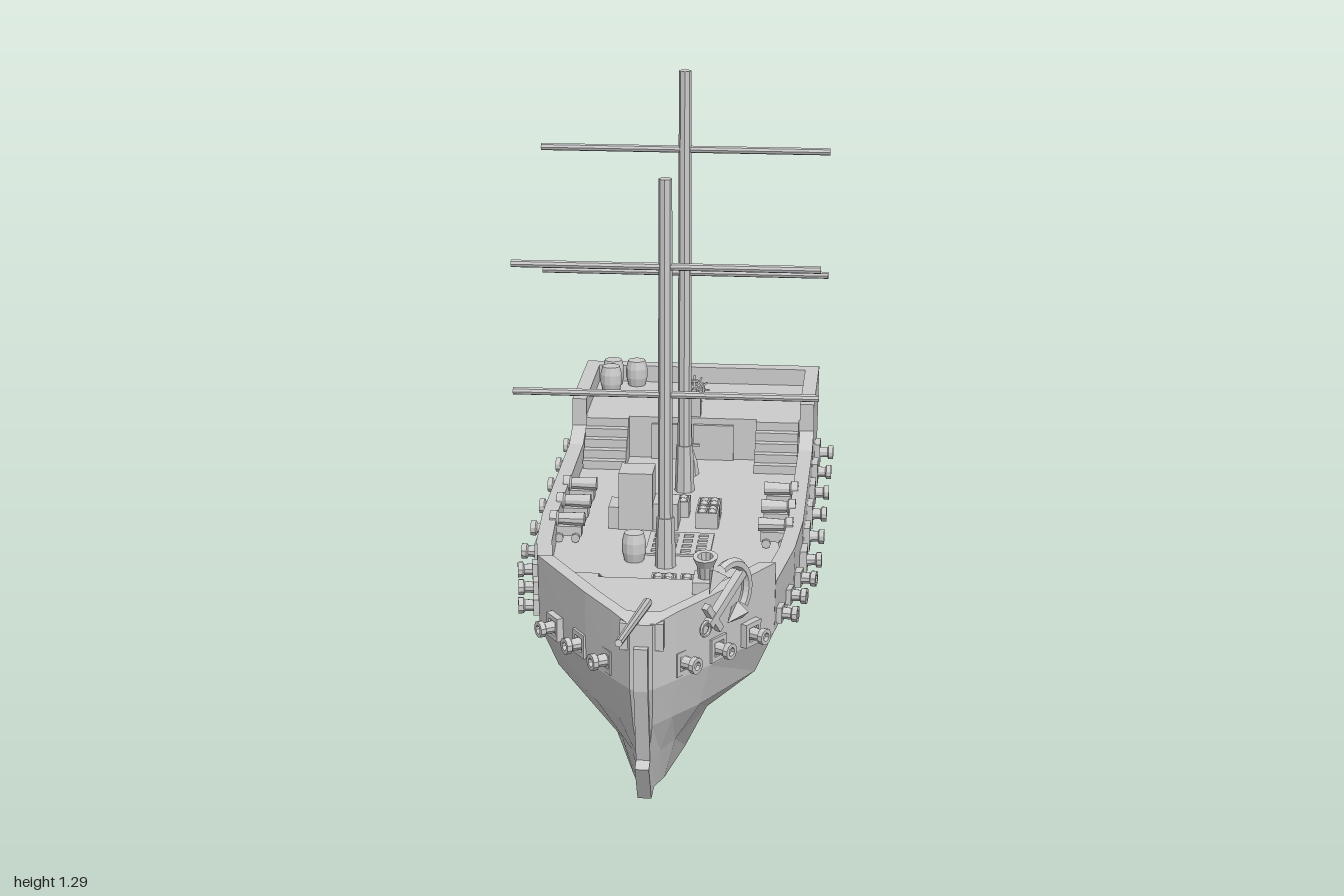
import * as THREE from 'three';

const mat = new THREE.MeshStandardMaterial({ color: 0xcccccc, flatShading: true });

function add(parent, name, geo, x = 0, y = 0, z = 0) {
  const m = new THREE.Mesh(geo, mat);
  m.name = name;
  m.position.set(x, y, z);
  parent.add(m);
  return m;
}
function group(parent, name, x = 0, y = 0, z = 0) {
  const g = new THREE.Group();
  g.name = name;
  g.position.set(x, y, z);
  parent.add(g);
  return g;
}
const box = (w, h, d) => new THREE.BoxGeometry(w, h, d);
const cyl = (rt, rb, h, n = 8) => new THREE.CylinderGeometry(rt, rb, h, n);
const lathe = (pts, n = 10) => new THREE.LatheGeometry(pts.map(p => new THREE.Vector2(...p)), n);

// Hull, bulwarks and decks as one loft of mirrored cross-sections
function hullGeometry() {
  const widths = [0.07, 0.122, 0.237, 0.282, 0.285];
  const heights = [0, 0.09, 0.173, 0.26];
  const rake = [0.085, 0.05, 0.025, 0, 0, 0, 0];
  // z, width factor, rail height, deck height, rake factor
  const stations = [
    [-1, 1, 0.46, 0.46, 0], [-0.965, 1, 0.46, 0.46, 0], [-0.965, 1, 0.46, 0.42, 0],
    [-0.68, 1, 0.46, 0.42, 0], [-0.68, 1, 0.395, 0.32, 0], [-0.61, 1, 0.37, 0.32, 0],
    [-0.12, 1, 0.37, 0.32, 0], [0.05, 0.965, 0.37, 0.32, 0], [0.26, 0.86, 0.37, 0.32, 0],
    [0.26, 0.86, 0.413, 0.37, 0], [0.45, 0.44, 0.408, 0.37, 0.35], [0.53, 0.23, 0.403, 0.37, 0.8],
    [0.53, 0.23, 0.403, 0.403, 0.8], [0.585, 0.08, 0.395, 0.395, 1],
  ];
  const rings = stations.map(([z, f, top, deck, rk]) => {
    const inner = Math.max(widths[4] * f - 0.033, 0.004);
    const half = heights.map((y, i) => [widths[i] * f, y]);
    half.push([widths[4] * f, top], [inner, top], [inner, deck]);
    const right = half.map(([x, y], i) => [x, y, z - rake[i] * rk]);
    return [...right, ...right.map(([x, y, zz]) => [-x, y, zz]).reverse()];
  });
  const pos = [];
  const quad = (a, b, c, d) => pos.push(...a, ...b, ...c, ...a, ...c, ...d);
  const n = 14;
  for (let s = 0; s < rings.length - 1; s++)
    for (let i = 0; i < n; i++) {
      const j = (i + 1) % n;
      quad(rings[s][i], rings[s][j], rings[s + 1][j], rings[s + 1][i]);
    }
  const stern = rings[0], bow = rings[rings.length - 1];
  for (let i = 0; i < 4; i++) {
    quad(stern[i], stern[13 - i], stern[12 - i], stern[i + 1]);
    quad(bow[i], bow[i + 1], bow[12 - i], bow[13 - i]);
  }
  const g = new THREE.BufferGeometry();
  g.setAttribute('position', new THREE.Float32BufferAttribute(pos, 3));
  g.computeVertexNormals();
  return g;
}

// Gun barrel pointing along +z with a flared muzzle
function barrel(parent, name, len, r, y = 0, z = 0) {
  const m = add(parent, name, lathe([[0, 0], [r, 0], [r * 0.8, len * 0.75], [r * 1.15, len * 0.8],
    [r * 1.15, len], [r * 0.6, len], [r * 0.6, len * 0.85], [0, len * 0.85]]), 0, y, z);
  m.rotation.x = Math.PI / 2;
}

// Gun port with its frame, facing outward
function gunPort(parent, x, z, angle, size) {
  const g = group(parent, 'gunPort', x, 0.29, z);
  g.rotation.y = angle;
  const t = size * 0.2;
  for (const s of [-1, 1]) {
    add(g, 'portFrameSide', box(t, size, 0.024), s * (size - t) / 2, 0, 0);
    add(g, 'portFrameRail', box(size, t, 0.024), 0, s * (size - t) / 2, 0);
  }
  add(g, 'portPlate', box(size, size, 0.014));
  barrel(g, 'portGun', 0.055, 0.015, 0, -0.012);
}

function stairs(parent, x, zLow, zHigh, yLow, yHigh, width) {
  const g = group(parent, 'stairs', x, yLow, 0), n = 5;
  const run = (zHigh - zLow) / n;
  for (let i = 0; i < n; i++) {
    const h = (yHigh - yLow) * (i + 1) / n;
    add(g, 'step', box(width, h, Math.abs(run)), 0, h / 2, zLow + run * (i + 0.5));
  }
}

function deckGun(parent, x, z) {
  const g = group(parent, 'deckGun', x, 0.32, z);
  g.rotation.y = Math.sign(x) * Math.PI / 2;
  add(g, 'carriage', box(0.03, 0.022, 0.055), 0, 0.024, -0.003);
  for (const sx of [-1, 1]) for (const sz of [-1, 1])
    add(g, 'wheel', cyl(0.01, 0.01, 0.008), sx * 0.02, 0.011, sz * 0.018).rotation.z = Math.PI / 2;
  barrel(g, 'gunBarrel', 0.075, 0.016, 0.048, -0.036);
}

// Open crate holding round shot
function shotCrate(parent, x, z) {
  const g = group(parent, 'shotCrate', x, 0.32, z);
  add(g, 'crate', box(0.046, 0.025, 0.046), 0, 0.0125, 0);
  for (const s of [-1, 1]) {
    add(g, 'crateSide', box(0.004, 0.036, 0.05), s * 0.023, 0.018, 0);
    add(g, 'crateEnd', box(0.05, 0.036, 0.004), 0, 0.018, s * 0.023);
    for (const t of [-1, 1]) add(g, 'shot', new THREE.SphereGeometry(0.01, 8, 6), s * 0.011, 0.032, t * 0.011);
  }
}

function cask(parent, x, y, z) {
  add(parent, 'cask', lathe([[0, 0], [0.021, 0], [0.026, 0.02], [0.026, 0.042], [0.021, 0.062], [0, 0.062]], 12), x, y, z);
}

function mast(parent, name, z, top, yards) {
  const g = group(parent, name, 0, 0, z);
  add(g, 'mastFoot', cyl(0.019, 0.023, 0.12), 0, 0.37, 0);
  add(g, 'mastPole', cyl(0.014, 0.016, top - 0.4), 0, (top + 0.4) / 2, 0);
  for (const y of yards) add(g, 'yard', cyl(0.008, 0.008, 0.64), 0, y, 0).rotation.z = Math.PI / 2;
}

export function createModel() {
  const ship = new THREE.Group();
  ship.name = 'sailingShip';
  add(ship, 'hull', hullGeometry());

  // Stem and cutwater
  const stem = new THREE.Shape([[0.42, 0], [0.525, 0], [0.578, 0.086], [0.552, 0.095], [0.597, 0.26],
    [0.6, 0.35], [0.54, 0.35], [0.5, 0.1]].map(p => new THREE.Vector2(-p[0], p[1])));
  const stemGeo = new THREE.ExtrudeGeometry(stem, { depth: 0.028, bevelEnabled: false });
  add(ship, 'stem', stemGeo, -0.014).rotation.y = Math.PI / 2;
  add(ship, 'bowBlock', box(0.086, 0.056, 0.04), 0, 0.368, 0.56);

  // Masts, yards and bowsprit
  mast(ship, 'foreMast', 0.05, 1.16, [0.7, 0.975]);
  mast(ship, 'mainMast', -0.445, 1.29, [0.835, 1.115]);
  const sprit = add(ship, 'bowsprit', cyl(0.007, 0.01, 0.56), 0, 0.458, 0.728);
  sprit.rotation.x = Math.PI / 2 - 0.238;

  // Guns, casks and stairs on both sides
  for (const s of [-1, 1]) {
    for (const z of [-0.845, -0.695, -0.545, -0.395, -0.245, -0.095]) gunPort(ship, s * 0.284, z, s * Math.PI / 2, 0.054);
    for (const [x, z] of [[0.278, 0.015], [0.262, 0.12], [0.248, 0.225]]) gunPort(ship, s * x, z, s * 1.42, 0.034);
    for (const [x, z] of [[0.196, 0.34], [0.132, 0.425], [0.07, 0.505]]) gunPort(ship, s * x, z, s * 1.0, 0.05);
    for (const z of [-0.335, -0.215, -0.095]) deckGun(ship, s * 0.225, z);
    stairs(ship, s * 0.2, -0.58, -0.68, 0.32, 0.42, 0.1);
    stairs(ship, s * 0.16, 0.155, 0.26, 0.32, 0.37, 0.08);
  }

  // Quarterdeck fittings
  for (const [x, z] of [[-0.215, -0.94], [-0.158, -0.94], [-0.215, -0.885]]) cask(ship, x, 0.42, z);
  for (const s of [-1, 1]) add(ship, 'cabinDoor', box(0.095, 0.085, 0.012), s * 0.049, 0.3625, -0.677);
  const helm = group(ship, 'helm', 0, 0.42, -0.705);
  add(helm, 'helmStand', box(0.034, 0.05, 0.03), 0, 0.025, 0);
  const wheel = group(helm, 'steeringWheel', 0, 0.055, -0.024);
  add(wheel, 'wheelRim', new THREE.TorusGeometry(0.022, 0.004, 6, 16));
  add(wheel, 'wheelHub', cyl(0.006, 0.006, 0.03)).rotation.x = Math.PI / 2;
  for (let i = 0; i < 6; i++) add(wheel, 'wheelSpoke', box(0.07, 0.004, 0.004)).rotation.z = i * Math.PI / 6;

  // Main deck cargo, pump and grating
  add(ship, 'tallCrate', box(0.075, 0.13, 0.075), -0.085, 0.385, -0.205);
  add(ship, 'lowCrate', box(0.055, 0.06, 0.07), -0.02, 0.35, -0.207);
  add(ship, 'sideCrate', box(0.025, 0.05, 0.07), -0.133, 0.345, -0.207);
  for (const [x, z] of [[0, -0.285], [0.07, -0.27], [0.07, -0.215], [0.01, 0.215], [0.07, 0.215]]) shotCrate(ship, x, z);
  cask(ship, -0.07, 0.32, 0.02);
  const pump = group(ship, 'pump', 0, 0.32, -0.565);
  add(pump, 'pumpBody', lathe([[0, 0], [0.024, 0], [0.02, 0.03], [0.01, 0.06], [0.007, 0.1], [0, 0.1]], 8));
  add(pump, 'pumpHandle', box(0.05, 0.007, 0.007), 0, 0.07, 0);
  const grate = group(ship, 'grating', 0.02, 0.322, -0.08);
  for (let i = -2; i <= 2; i++) {
    add(grate, 'gratingBar', box(0.012, 0.005, 0.14), i * 0.032, 0, 0);
    add(grate, 'gratingSlat', box(0.14, 0.004, 0.012), 0, 0, i * 0.032);
  }

  // Small mortar on the forecastle
  const mortar = group(ship, 'mortar', 0.105, 0.37, 0.31);
  add(mortar, 'mortarBase', box(0.05, 0.025, 0.07), 0, 0.0125, 0);
  add(mortar, 'mortarBarrel', lathe([[0, 0], [0.015, 0], [0.018, 0.035], [0.026, 0.055], [0.016, 0.055], [0.012, 0.03], [0, 0.03]]),
    0, 0.02, 0).rotation.x = 0.2;

  // Anchor slung on the left bow
  const sling = group(ship, 'anchorSling', 0.155, 0.405, 0.445);
  sling.rotation.y = 0.985;
  const anchor = group(sling, 'anchor');
  anchor.rotation.z = 2.21;
  add(anchor, 'shank', box(0.017, 0.14, 0.017));
  add(anchor, 'stock', box(0.075, 0.014, 0.014), 0, 0.052, 0);
  add(anchor, 'ring', new THREE.TorusGeometry(0.014, 0.004, 6, 12), 0, 0.08, 0);
  const arms = add(anchor, 'arms', new THREE.TorusGeometry(0.06, 0.011, 6, 12, Math.PI * 0.86), 0, -0.012, 0);
  arms.rotation.z = Math.PI * 1.07;
  for (const s of [-1, 1]) {
    const fluke = add(anchor, 'fluke', new THREE.ConeGeometry(0.022, 0.045, 4), s * 0.055, 0.008, 0);
    fluke.rotation.z = s * 0.25;
  }
  return ship;
}
